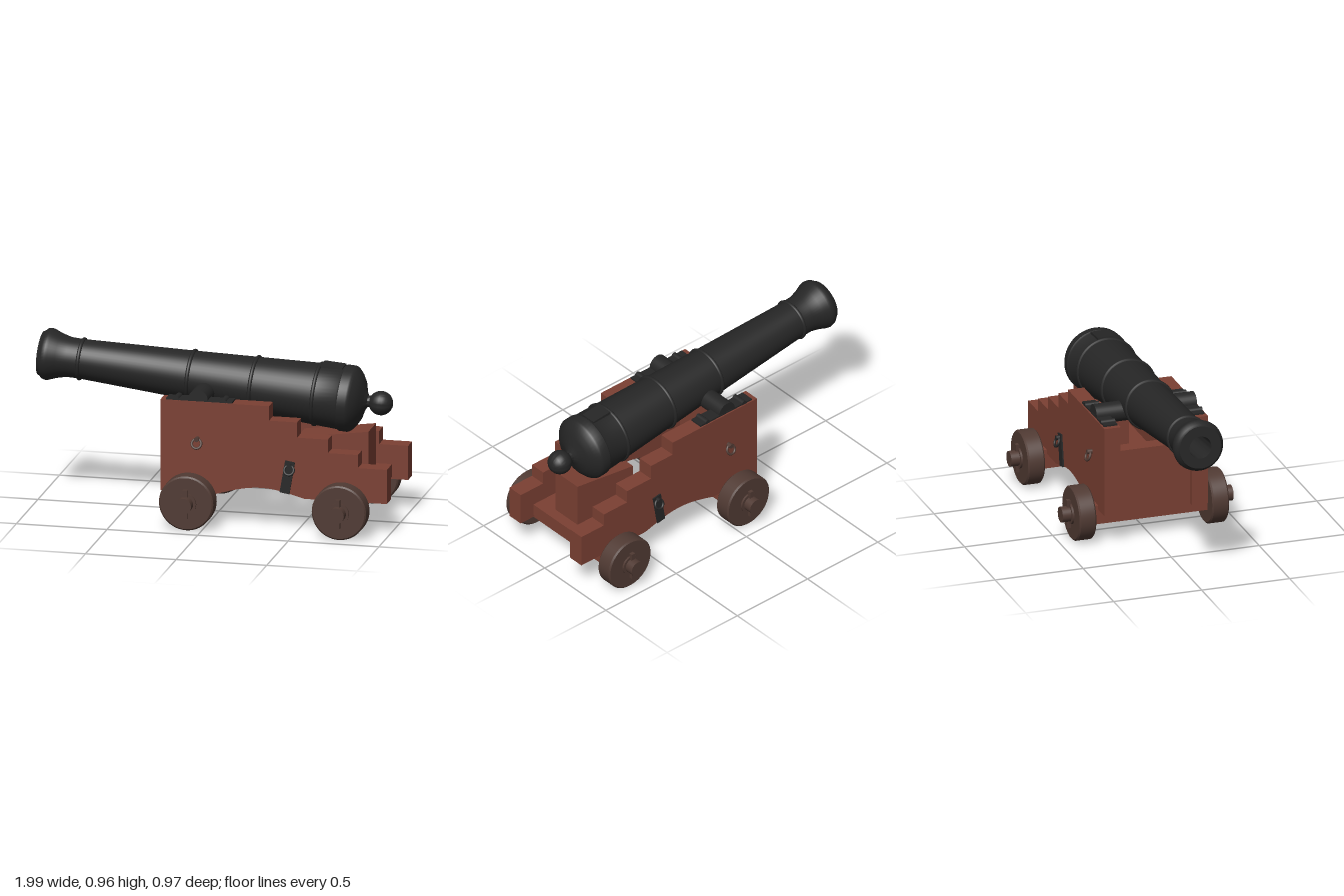
import * as THREE from 'three';
import { toCreasedNormals } from 'three/addons/utils/BufferGeometryUtils.js';

const material = (name, color) => {
  const m = new THREE.MeshStandardMaterial({ color });
  m.name = name;
  return m;
};

export function createModel() {
  const model = new THREE.Group();
  model.name = 'cannon';
  const iron = material('black iron', 0x262626);
  const wood = material('red brown wood', 0x7b4033);
  const darkWood = material('dark brown wood', 0x503a33);

  const add = (name, geometry, mat, x = 0, y = 0, z = 0, parent = model) => {
    const mesh = new THREE.Mesh(geometry, mat);
    mesh.name = name;
    mesh.position.set(x, y, z);
    parent.add(mesh);
    return mesh;
  };
  // Box given by its minimum and maximum corners
  const block = (name, mat, x0, x1, y0, y1, z0, z1, parent = model) =>
    add(name, new THREE.BoxGeometry(x1 - x0, y1 - y0, z1 - z0), mat,
      (x0 + x1) / 2, (y0 + y1) / 2, (z0 + z1) / 2, parent);
  // Cylinder lying along z
  const zRod = (name, mat, r, length, x, y, z, parent = model) =>
    add(name, new THREE.CylinderGeometry(r, r, length, 32).rotateX(Math.PI / 2), mat, x, y, z, parent);
  const extrude = (points, depth) => new THREE.ExtrudeGeometry(
    new THREE.Shape(points.map(p => new THREE.Vector2(...p))), { depth, bevelEnabled: false });
  const lathe = (points, segments = 48) => toCreasedNormals(
    new THREE.LatheGeometry(points.map(p => new THREE.Vector2(...p)), segments), 0.6);

  // Barrel: profile as [radius, position], from the knob to the bore
  const barrel = new THREE.Group();
  barrel.name = 'barrel';
  barrel.position.set(-0.05, 0.744, 0);
  barrel.rotation.z = Math.PI / 2 - 0.085;
  model.add(barrel);
  const profile = [];
  for (let i = 0; i <= 10; i++) {
    const a = (i / 10) * 2.65;
    profile.push([0.066 * Math.sin(a), 0.896 + 0.066 * Math.cos(a)]);
  }
  profile.push(
    [0.031, 0.825], [0.05, 0.815], [0.065, 0.808], [0.11, 0.795], [0.145, 0.775],
    [0.168, 0.755], [0.176, 0.745], [0.18, 0.735], [0.18, 0.69], [0.173, 0.68],
    [0.168, 0.56], [0.15, -0.15 + 0.35], [0.133, -0.15], [0.107, -0.76],
    [0.108, -0.83], [0.122, -0.885], [0.138, -0.925], [0.141, -0.94], [0.137, -0.96],
    [0.125, -0.972], [0.118, -0.985], [0.062, -0.985], [0.06, -0.975], [0.06, -0.5], [0, -0.5]);
  add('barrelBody', lathe(profile.map(([r, x]) => [Math.max(r, 0), -(x + 0.05)])), iron, 0, 0, 0, barrel);

  // Raised rings around the barrel
  for (const [x, r] of [[0.55, 0.165], [0.2, 0.149], [-0.15, 0.132], [-0.76, 0.106]]) {
    add('barrelRing', new THREE.TorusGeometry(r, 0.011, 10, 48).rotateX(Math.PI / 2),
      iron, 0, -(x + 0.05), 0, barrel);
  }
  // Vent field on top of the breech
  block('ventPlate', iron, 0.1, 0.178, -0.73, -0.61, -0.045, 0.045, barrel);

  // Trunnions resting on the carriage
  zRod('trunnions', iron, 0.055, 0.57, -0.05, 0.698, 0);

  // Stepped cheek outline with an arched underside
  const cheek = [
    [-0.255, 0.185], [-0.255, 0.69], [0.345, 0.69], [0.345, 0.61], [0.5, 0.61],
    [0.5, 0.525], [0.67, 0.525], [0.67, 0.45], [0.835, 0.45], [0.835, 0.377],
    [0.995, 0.377], [0.995, 0.187], [0.54, 0.187]];
  for (let i = 0; i <= 12; i++) {
    const t = i / 12;
    cheek.push([0.51 - 0.42 * t, 0.195 + 0.038 * Math.sin(Math.PI * t)]);
  }
  cheek.push([0.06, 0.185]);

  // Wheel with softened rims
  const wheel = lathe([[0, -0.048], [0.142, -0.048], [0.15, -0.04],
    [0.15, 0.04], [0.142, 0.048], [0, 0.048]]).rotateX(Math.PI / 2);
  const axleX = [-0.083, 0.76];

  for (const s of [1, -1]) {
    const side = new THREE.Group();
    side.name = s > 0 ? 'frontSide' : 'rearSide';
    model.add(side);
    add('cheek', extrude(cheek, 0.092), wood, 0, 0, s > 0 ? 0.202 : -0.294, side);

    // Iron cap plates, hinge lugs and bolts beside the trunnion
    block('capPlate', iron, -0.225, 0.14, 0.68, 0.699, s * 0.248 - 0.038, s * 0.248 + 0.038, side);
    for (const x of [-0.17, 0.09]) {
      zRod('capLug', iron, 0.017, 0.08, x, 0.694, s * 0.248, side);
    }

    // Slanted iron strap
    const strap = block('strap', iron, -0.027, 0.027, -0.09, 0.09, -0.005, 0.005, side);
    strap.position.set(0.447, 0.302, s * 0.297);
    strap.rotation.z = -0.17;

    // Eyebolts with hanging rings
    for (const [x, y, mat] of [[-0.05, 0.485, darkWood], [0.46, 0.37, iron]]) {
      zRod('eyebolt', mat, 0.013, 0.035, x, y, s * 0.305, side);
      const ring = add('pullRing', new THREE.TorusGeometry(0.026, 0.007, 8, 24), mat,
        x, y - 0.023, s * 0.316, side);
      ring.rotation.x = -s * 0.4;
    }

    // Wheels, hubs, washers and linchpins
    for (const x of axleX) {
      add('wheel', wheel, darkWood, x, 0.155, s * 0.377, side);
      zRod('axleEnd', darkWood, 0.043, 0.16, x, 0.155, s * 0.405, side);
      zRod('washer', darkWood, 0.058, 0.012, x, 0.155, s * 0.43, side);
      block('linchpin', darkWood, x - 0.012, x + 0.012, 0.075, 0.235, s * 0.44 - 0.01, s * 0.44 + 0.01, side);
    }
  }

  // Cross members between the cheeks
  for (const x of axleX) block('axleBeam', wood, x - 0.07, x + 0.07, 0.102, 0.21, -0.328, 0.328);
  block('frontTransom', wood, -0.225, -0.14, 0.187, 0.54, -0.203, 0.203);
  block('stoolBed', wood, 0.4, 0.905, 0.2, 0.27, -0.203, 0.203);
  zRod('crossBolt', iron, 0.014, 0.6, 0.435, 0.225, 0);

  // Wedge that supports the breech
  add('breechWedge', extrude([[0.45, 0.268], [0.845, 0.268], [0.845, 0.525], [0.45, 0.47]], 0.18),
    wood, 0, 0, -0.09);

  return model;
}
